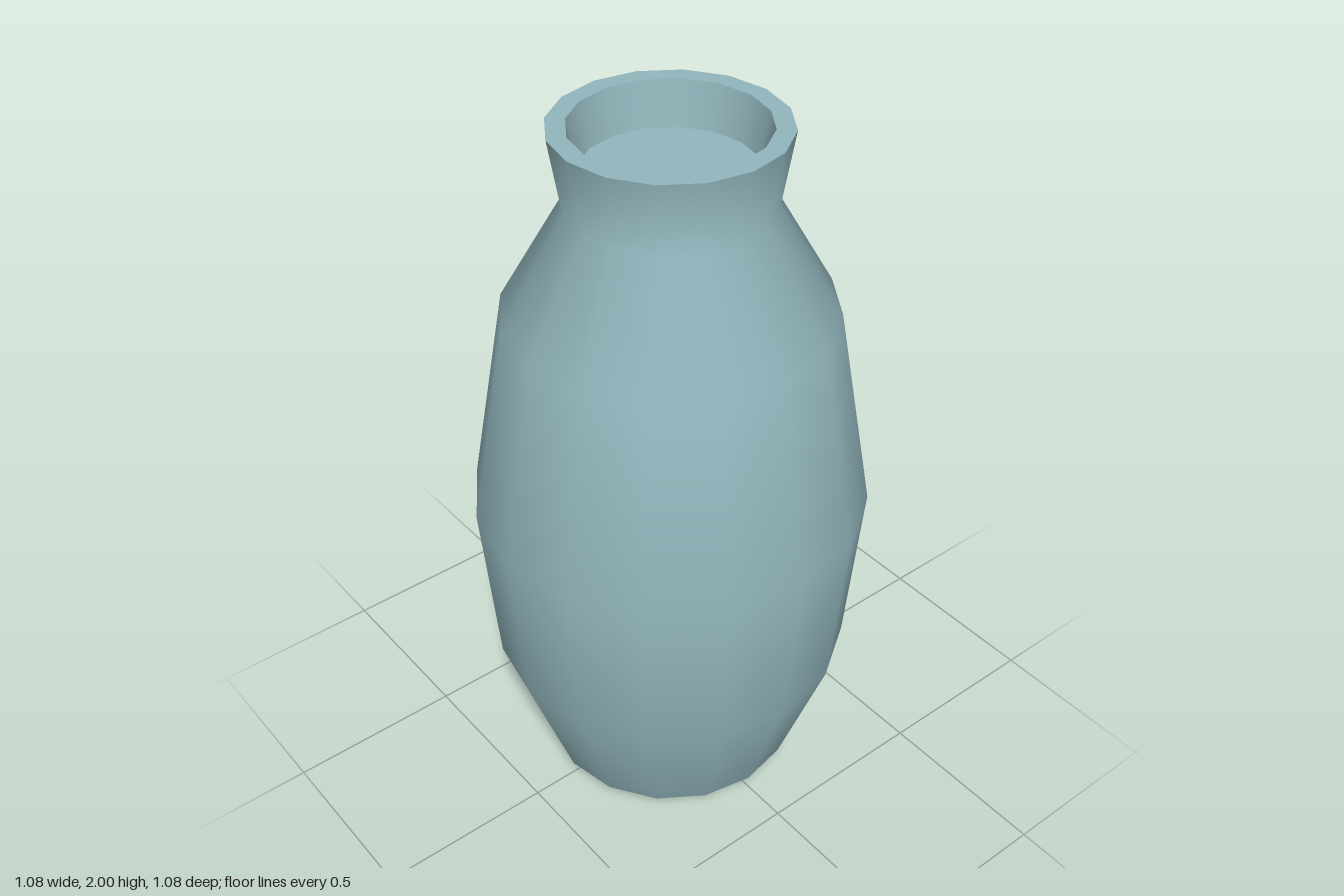
import * as THREE from 'three';

const SIDES = 16;

export function createModel() {
  const model = new THREE.Group();
  model.name = 'vase';
  const glaze = new THREE.MeshStandardMaterial({ color: 0x92b6bd });
  glaze.name = 'blue grey glaze';

  // Each part is its own lathe, so the edges between parts stay sharp
  const addLathe = (name, profile) => {
    const points = profile.map(([r, y]) => new THREE.Vector2(r, y));
    const mesh = new THREE.Mesh(new THREE.LatheGeometry(points, SIDES), glaze);
    mesh.name = name;
    model.add(mesh);
  };

  // Flat underside
  addLathe('base', [[0, 0], [0.335, 0]]);
  // Smooth outer wall: bevelled foot, belly, shoulder and flared neck
  addLathe('body', [
    [0.335, 0], [0.367, 0.035], [0.5, 0.42], [0.54, 0.92],
    [0.437, 1.5], [0.267, 1.795], [0.3, 2],
  ]);
  // Flat lip
  addLathe('rim', [[0.3, 2], [0.25, 2]]);
  // Shallow recess in the mouth
  addLathe('innerWall', [[0.25, 2], [0.226, 1.88]]);
  addLathe('innerFloor', [[0.226, 1.88], [0, 1.88]]);

  return model;
}
